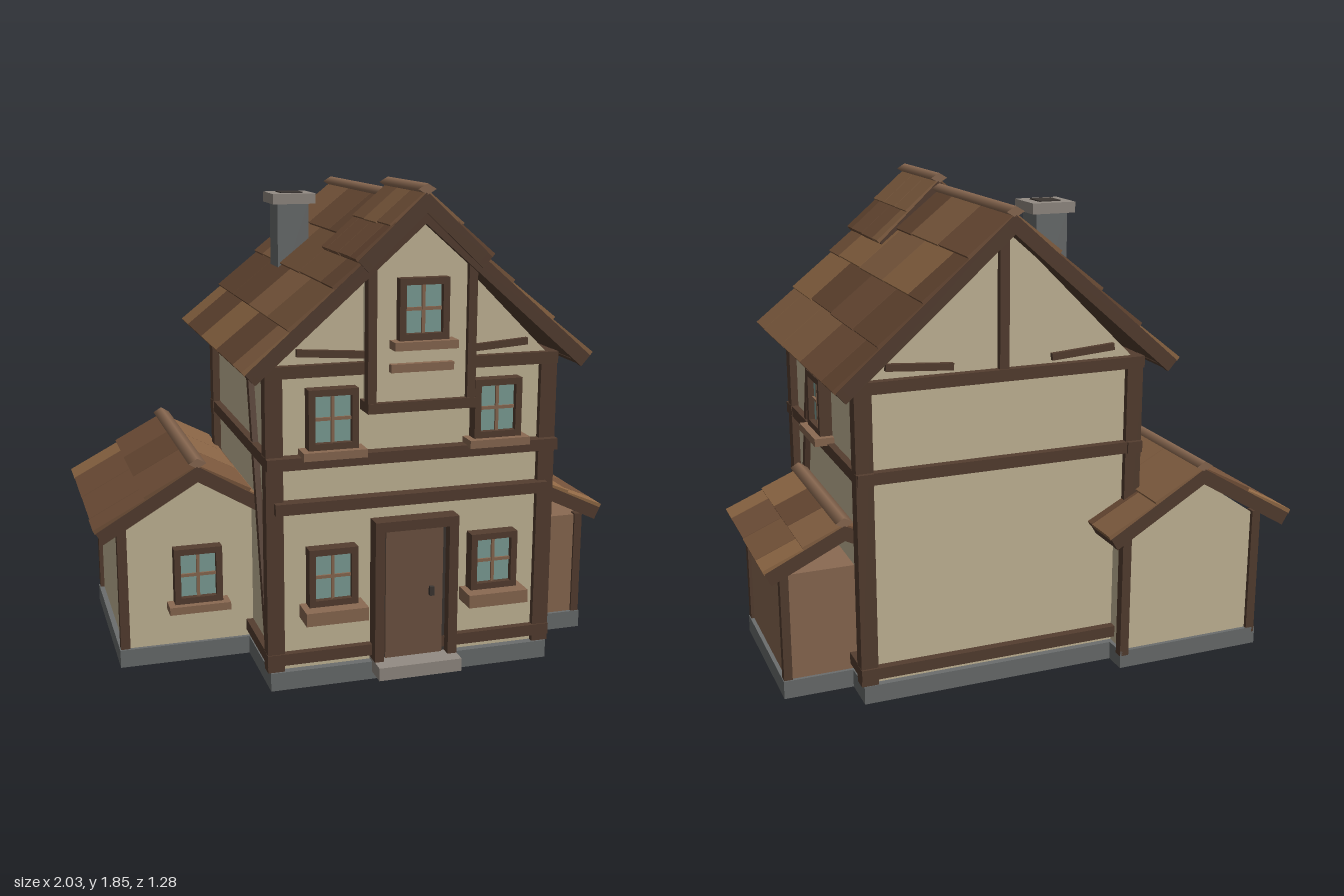
import * as THREE from 'three';

const mats = {};
const mat = (c) => (mats[c] ??= new THREE.MeshStandardMaterial({ color: c }));
const WOOD = 0x553e30, WALL = 0xc8ba9a, PLANK = 0x8b6a52, DOOR = 0x6f5443;
const STONE = 0x6b6e6e, PALE = 0x948c84, GLASS = 0x7fa29a, DARK = 0x3c3632;
const TILES = [0x7a573c, 0x886344, 0x6b4b35, 0x926a46, 0x74523a];
const CX = 0.13; // centre line of the main house

let seed = 7;
const rand = () => (seed = (seed * 16807) % 2147483647) / 2147483647;

function add(parent, name, geo, color) {
  const m = new THREE.Mesh(geo, mat(color));
  m.name = name;
  parent.add(m);
  return m;
}

// Box given by its extents
function box(parent, name, color, x0, x1, y0, y1, z0, z1) {
  const m = add(parent, name, new THREE.BoxGeometry(x1 - x0, y1 - y0, z1 - z0), color);
  m.position.set((x0 + x1) / 2, (y0 + y1) / 2, (z0 + z1) / 2);
  return m;
}

// Square timber between two points
function timber(parent, name, a, b, t) {
  const p = new THREE.Vector3(...a), q = new THREE.Vector3(...b);
  const m = add(parent, name, new THREE.BoxGeometry(t, t, p.distanceTo(q)), WOOD);
  m.position.copy(p).add(q).multiplyScalar(0.5);
  m.lookAt(q);
  return m;
}

// Outline in the xy plane extruded from z0 to z1
function prism(parent, name, color, pts, z0, z1) {
  const shape = new THREE.Shape(pts.map((p) => new THREE.Vector2(...p)));
  const geo = new THREE.ExtrudeGeometry(shape, { depth: z1 - z0, bevelEnabled: false });
  add(parent, name, geo, color).position.z = z0;
}

// Gable roof with its ridge along z, covered in staggered tiles
function roof(parent, name, cx, top, half, drop, z0, z1, rows, cols) {
  const g = new THREE.Group();
  g.name = name;
  g.position.set(cx, top, (z0 + z1) / 2);
  parent.add(g);
  const L = Math.hypot(half, drop), D = z1 - z0, d = D / 2, step = L / rows, w = D / cols;
  for (const turn of [0, Math.PI]) {
    const side = new THREE.Group(), slope = new THREE.Group();
    side.name = turn ? 'leftPitch' : 'rightPitch';
    side.rotation.y = turn;
    slope.rotation.z = -Math.atan2(drop, half);
    g.add(side);
    side.add(slope);
    box(slope, 'roofDeck', WOOD, 0, L - 0.01, -0.035, 0, -d + 0.01, d - 0.01);
    box(slope, 'eaveBoard', WOOD, L - 0.025, L, -0.038, 0.006, -d, d);
    for (const s of [-1, 1]) {
      const z = s * (d - 0.0125);
      box(slope, 'bargeBoard', WOOD, -0.005, L, -0.042, 0.01, z - 0.0125, z + 0.0125);
    }
    for (let r = 0; r < rows; r++) {
      const shift = r % 2 ? w / 2 : 0;
      for (let c = 0; c < cols + (shift ? 1 : 0); c++) {
        const a = Math.max(-d, -d + c * w - shift), b = Math.min(d, -d + (c + 1) * w - shift);
        const x1 = (r + 1) * step + rand() * 0.006;
        const t = box(slope, 'roofTile', TILES[Math.floor(rand() * TILES.length)],
          r * step - (r ? 0.02 : 0), Math.min(x1, L + 0.003), 0.002, 0.02, a + 0.002, b - 0.002);
        t.rotation.z = 0.05;
      }
    }
  }
  const cap = add(g, 'ridgeCap', new THREE.CylinderGeometry(0.033, 0.033, D, 4), PLANK);
  cap.rotation.x = Math.PI / 2;
  cap.scale.z = 0.6;
  cap.position.y = 0.022;
}

// Four-pane window with a sill, its back on the wall plane
function makeWindow(parent, x, y, z, turn = 0, sill = 0.03) {
  const g = new THREE.Group();
  g.name = 'window';
  g.position.set(x, y, z);
  g.rotation.y = turn;
  parent.add(g);
  const W = 0.0925, H = 0.11, f = 0.024;
  box(g, 'glass', GLASS, -W + f, W - f, -H + f, H - f, -0.01, 0.025);
  box(g, 'verticalBar', PLANK, -0.006, 0.006, -H + f, H - f, 0, 0.034);
  box(g, 'crossBar', PLANK, -W + f, W - f, -0.006, 0.006, 0, 0.033);
  for (const s of [-1, 1]) {
    const a = s * (W - f / 2), b = s * (H - f / 2);
    box(g, 'frameSide', WOOD, a - f / 2, a + f / 2, -H, H, -0.01, 0.048);
    box(g, 'frameRail', WOOD, -W + f, W - f, b - f / 2, b + f / 2, -0.01, 0.048);
  }
  box(g, 'sill', PLANK, -0.118, 0.118, -H - sill, -H, -0.01, sill > 0.04 ? 0.1 : 0.075);
}

export function createModel() {
  const house = new THREE.Group();
  house.name = 'house';

  // Foundations and step
  box(house, 'mainFoundation', STONE, -0.42, 0.68, 0, 0.07, -0.475, 0.54);
  box(house, 'annexFoundation', STONE, -0.925, -0.32, 0, 0.07, -0.565, 0.175);
  box(house, 'shedFoundation', STONE, 0.6, 0.945, 0, 0.07, -0.325, 0.3);
  box(house, 'doorStep', PALE, -0.03, 0.295, 0.03, 0.08, 0.5, 0.63);

  // Main walls and gable
  box(house, 'mainWalls', WALL, -0.4, 0.66, 0.07, 1.2, -0.45, 0.51);
  prism(house, 'mainGable', WALL, [[CX - 0.535, 1.2], [CX + 0.535, 1.2], [CX, 1.735]], -0.45, 0.51);

  // Timber frame
  for (const s of [-1, 1]) {
    const x = CX + s * 0.527;
    for (const z of [-0.445, 0.505])
      box(house, 'cornerPost', WOOD, x - 0.032, x + 0.032, 0.07, 1.2, z - 0.028, z + 0.028);
    for (const [y, o] of [[0.115, 0], [0.867, 0.01], [1.195, 0]])
      box(house, 'sideBeam', WOOD, x - 0.03, x + 0.03, y - 0.022, y + 0.022, -0.48 - o, 0.535 + o);
    timber(house, 'sideBrace', [CX + s * 0.535, 1.16, 0.21], [CX + s * 0.535, 0.14, 0.468], 0.034);
    for (const z of [-0.455, 0.515])
      timber(house, 'gableBrace', [CX + s * 0.44, 1.26, z], [CX + s * 0.19, 1.242, z], 0.026);
  }
  for (const [y, o] of [[0.117, 0], [0.867, 0.022], [1.195, 0]]) {
    box(house, 'frontBeam', WOOD, -0.43, 0.69, y - 0.022, y + 0.022, 0.48, 0.538 + o);
    box(house, 'backBeam', WOOD, -0.43, 0.69, y - 0.022, y + 0.022, -0.482, -0.42);
  }
  box(house, 'frontBeam', WOOD, -0.4, 0.655, 0.68, 0.722, 0.48, 0.56);
  box(house, 'kingPost', WOOD, CX - 0.018, CX + 0.018, 1.2, 1.71, -0.475, -0.43);

  roof(house, 'mainRoof', CX, 1.765, 0.64, 0.56, -0.567, 0.622, 4, 4);

  // Front dormer
  prism(house, 'dormerBay', WALL,
    [[CX - 0.19, 1.05], [CX + 0.19, 1.05], [CX + 0.19, 1.55], [CX, 1.745], [CX - 0.19, 1.55]], 0.22, 0.585);
  for (const s of [-1, 1])
    box(house, 'dormerPost', WOOD, CX + s * 0.187 - 0.016, CX + s * 0.187 + 0.016, 1.05, 1.57, 0.565, 0.607);
  box(house, 'dormerBeam', WOOD, CX - 0.203, CX + 0.203, 1.043, 1.08, 0.5, 0.61);
  box(house, 'dormerLedge', PLANK, CX - 0.118, CX + 0.118, 1.187, 1.217, 0.57, 0.61);
  makeWindow(house, CX, 1.412, 0.575);
  roof(house, 'dormerRoof', CX, 1.805, 0.24, 0.225, 0.2, 0.63, 2, 3);

  // Main windows
  for (const s of [-1, 1]) {
    makeWindow(house, CX + s * 0.315, 1.022, 0.515);
    makeWindow(house, CX + s * 0.315, 0.43, 0.515, 0, 0.05);
  }
  for (const y of [1.022, 0.43]) makeWindow(house, 0.66, y, 0.033, Math.PI / 2);

  // Door
  box(house, 'doorPanel', DOOR, 0.02, 0.245, 0.08, 0.58, 0.5, 0.545);
  for (const [a, b] of [[-0.03, 0.006], [0.259, 0.295]])
    box(house, 'doorPost', WOOD, a, b, 0.08, 0.59, 0.5, 0.575);
  box(house, 'doorLintel', WOOD, -0.03, 0.295, 0.588, 0.626, 0.5, 0.578);
  box(house, 'doorSurround', DARK, 0.006, 0.259, 0.08, 0.588, 0.5, 0.535);
  box(house, 'doorHandle', DARK, 0.19, 0.207, 0.315, 0.35, 0.54, 0.56);

  // Side annex
  const AX = -0.62;
  prism(house, 'annexWalls', WALL,
    [[AX - 0.285, 0.07], [AX + 0.285, 0.07], [AX + 0.285, 0.55], [AX, 0.745], [AX - 0.285, 0.55]], -0.55, 0.16);
  for (const [x, z] of [[-0.903, 0.15], [-0.903, -0.547], [-0.337, -0.547]])
    box(house, 'annexPost', WOOD, x - 0.018, x + 0.018, 0.05, 0.57, z - 0.018, z + 0.018);
  makeWindow(house, AX, 0.355, 0.16);
  roof(house, 'annexRoof', AX, 0.785, 0.38, 0.225, -0.63, 0.24, 2, 3);

  // Lean-to shed, open under its roof
  box(house, 'shedWalls', PLANK, 0.6, 0.93, 0.07, 0.485, -0.312, 0.287);
  for (const z of [-0.303, 0.279])
    box(house, 'shedPost', WOOD, 0.91, 0.942, 0.045, 0.49, z - 0.017, z + 0.017);
  roof(house, 'shedRoof', 0.705, 0.65, 0.293, 0.14, -0.36, 0.33, 2, 3);

  // Chimney
  box(house, 'chimneyStack', STONE, -0.218, -0.093, 1.38, 1.735, -0.235, -0.11);
  box(house, 'chimneyCap', PALE, -0.24, -0.07, 1.73, 1.77, -0.257, -0.088);
  box(house, 'chimneyFlue', DARK, -0.198, -0.112, 1.74, 1.774, -0.216, -0.129);

  return house;
}
